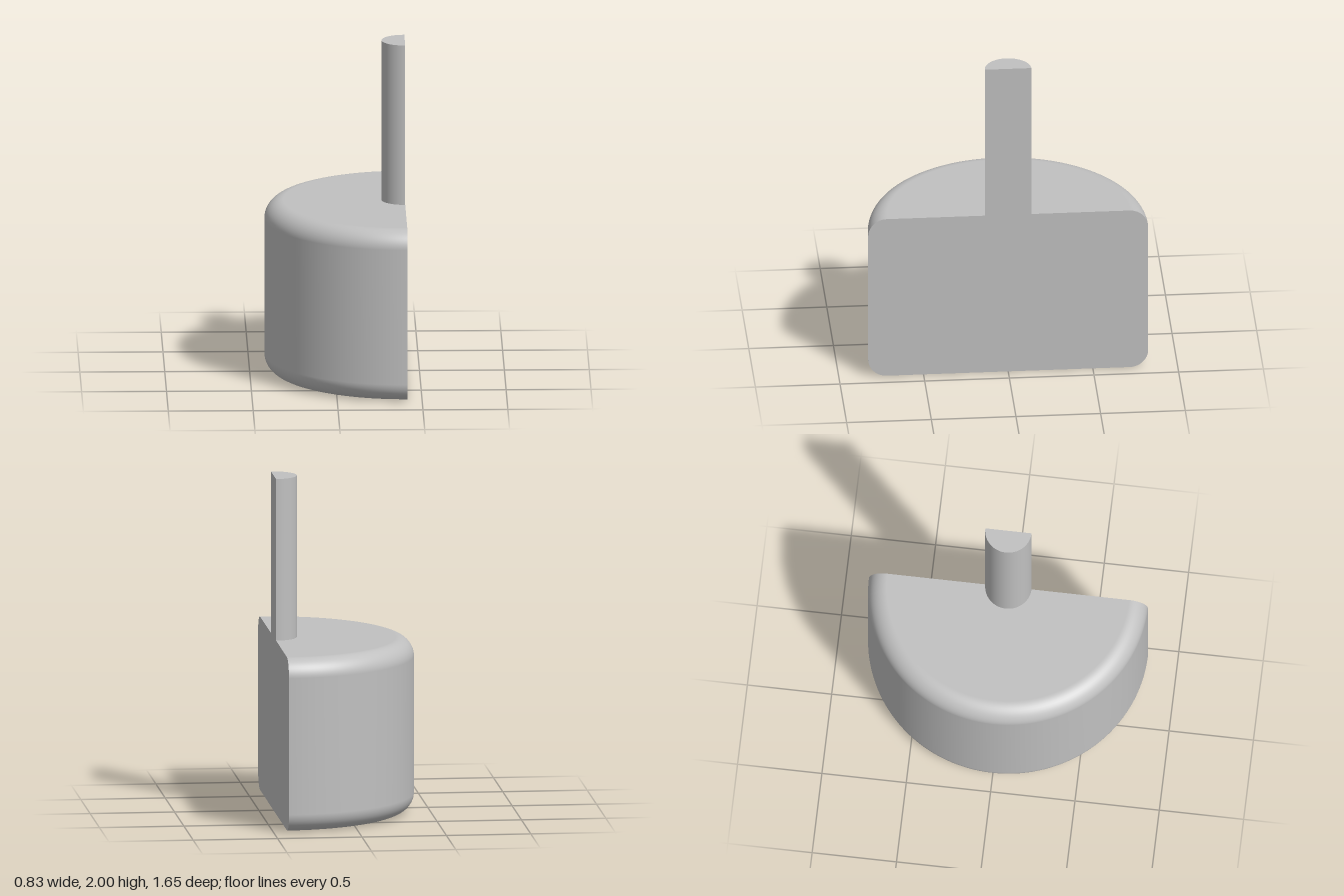
import * as THREE from 'three';

const BODY_R = 0.827, BODY_H = 1.035, FILLET = 0.11;
const STEM_R = 0.137, TOP = 2, CUT_X = 0.4135;

// Half profile of the body, from the bottom centre to the top centre
function bodyProfile() {
  const pts = [new THREE.Vector2(0, 0)];
  const corner = (cy, start) => {
    for (let i = 0; i <= 12; i++) {
      const a = start + (i / 12) * Math.PI / 2;
      pts.push(new THREE.Vector2(BODY_R - FILLET + FILLET * Math.cos(a), cy + FILLET * Math.sin(a)));
    }
  };
  corner(FILLET, -Math.PI / 2);
  corner(BODY_H - FILLET, 0);
  pts.push(new THREE.Vector2(0, BODY_H));
  return pts;
}

export function createModel() {
  const group = new THREE.Group();
  const grey = new THREE.MeshStandardMaterial({ color: 0xc0c0c0 });
  grey.name = 'plain grey';

  const add = (name, geometry, y = 0) => {
    const mesh = new THREE.Mesh(geometry, grey);
    mesh.name = name;
    mesh.position.set(CUT_X, y, 0);
    group.add(mesh);
  };

  // Rounded half drum
  const profile = bodyProfile();
  add('body', new THREE.LatheGeometry(profile, 64, Math.PI, Math.PI));

  // Half-round stem: curved wall and top cap
  const stemH = TOP - BODY_H;
  add('stem', new THREE.CylinderGeometry(STEM_R, STEM_R, stemH, 40, 1, true, Math.PI, Math.PI), BODY_H + stemH / 2);
  const cap = new THREE.CircleGeometry(STEM_R, 40, Math.PI / 2, Math.PI);
  add('stemTop', cap.rotateX(-Math.PI / 2), TOP);

  // Flat cut face shared by the body and the stem
  const half = profile.slice(1, -1);
  half.push(new THREE.Vector2(STEM_R, BODY_H), new THREE.Vector2(STEM_R, TOP));
  const mirrored = half.map((p) => new THREE.Vector2(-p.x, p.y)).reverse();
  const face = new THREE.ShapeGeometry(new THREE.Shape([...half, ...mirrored]));
  add('cutFace', face.rotateY(Math.PI / 2));

  return group;
}
